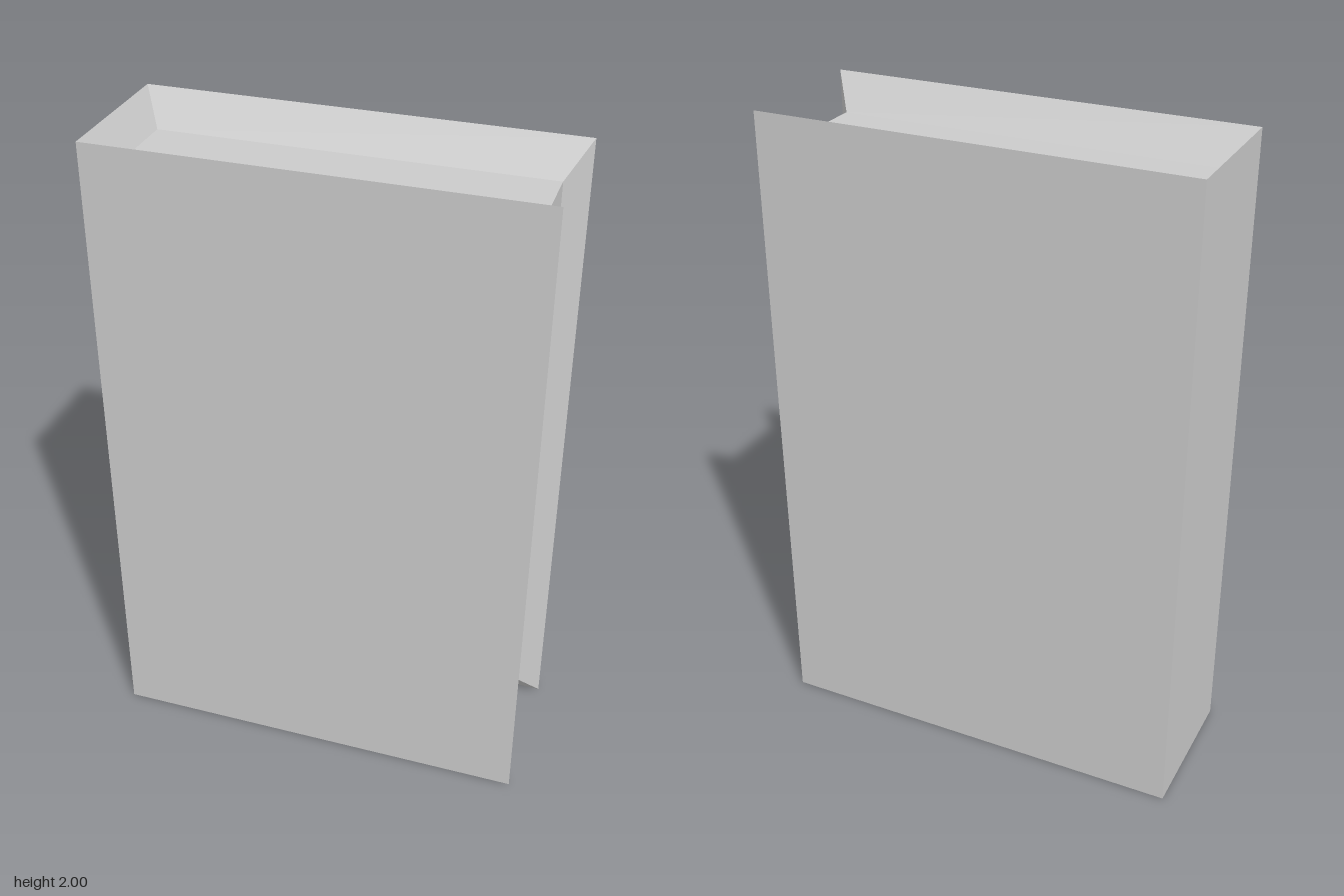
import * as THREE from 'three';

const material = new THREE.MeshStandardMaterial({ color: 0xcccccc, flatShading: true });

// Corners of the outer case and of the recessed page block, picked by sign
const outer = ([sx, sy], sz) => [0.655 * sx, sy > 0 ? 2 : 0, 0.23 * sz];
const inner = ([sx, sy], sz) => [sx > 0 ? 0.59 : -0.595, sy > 0 ? 1.9 : 0.1, 0.148 * sz];

// Mesh made of flat four-sided faces, corners counter-clockwise from outside
function quadMesh(name, quads) {
  const points = quads.flatMap(([a, b, c, d]) => [a, b, c, a, c, d]).flat();
  const geometry = new THREE.BufferGeometry();
  geometry.setAttribute('position', new THREE.Float32BufferAttribute(points, 3));
  geometry.computeVertexNormals();
  const mesh = new THREE.Mesh(geometry, material);
  mesh.name = name;
  return mesh;
}

export function createModel() {
  const book = new THREE.Group();
  book.name = 'book';

  // Open sides of the case: along the head, down the fore edge, back along the tail
  const [headSpine, headFore, tailFore, tailSpine] = [[-1, 1], [1, 1], [1, -1], [-1, -1]];
  const edges = [[headSpine, headFore], [headFore, tailFore], [tailFore, tailSpine]];

  // Front and back covers, each with a lip sloping in to the pages
  for (const [name, side] of [['frontCover', 1], ['backCover', -1]]) {
    const quads = [[tailSpine, tailFore, headFore, headSpine].map((c) => outer(c, side))];
    for (const [a, b] of edges) {
      quads.push([outer(a, side), outer(b, side), inner(b, side), inner(a, side)]);
    }
    if (side < 0) quads.forEach((q) => q.reverse());
    book.add(quadMesh(name, quads));
  }

  // Spine with sloping lips at head and tail
  book.add(quadMesh('spine', [
    [outer(tailSpine, -1), outer(tailSpine, 1), outer(headSpine, 1), outer(headSpine, -1)],
    [outer(headSpine, -1), outer(headSpine, 1), inner(headSpine, 1), inner(headSpine, -1)],
    [outer(tailSpine, 1), outer(tailSpine, -1), inner(tailSpine, -1), inner(tailSpine, 1)],
  ]));

  // Recessed page edges
  book.add(quadMesh('pages', edges.map(([a, b]) =>
    [inner(a, 1), inner(b, 1), inner(b, -1), inner(a, -1)])));

  return book;
}
